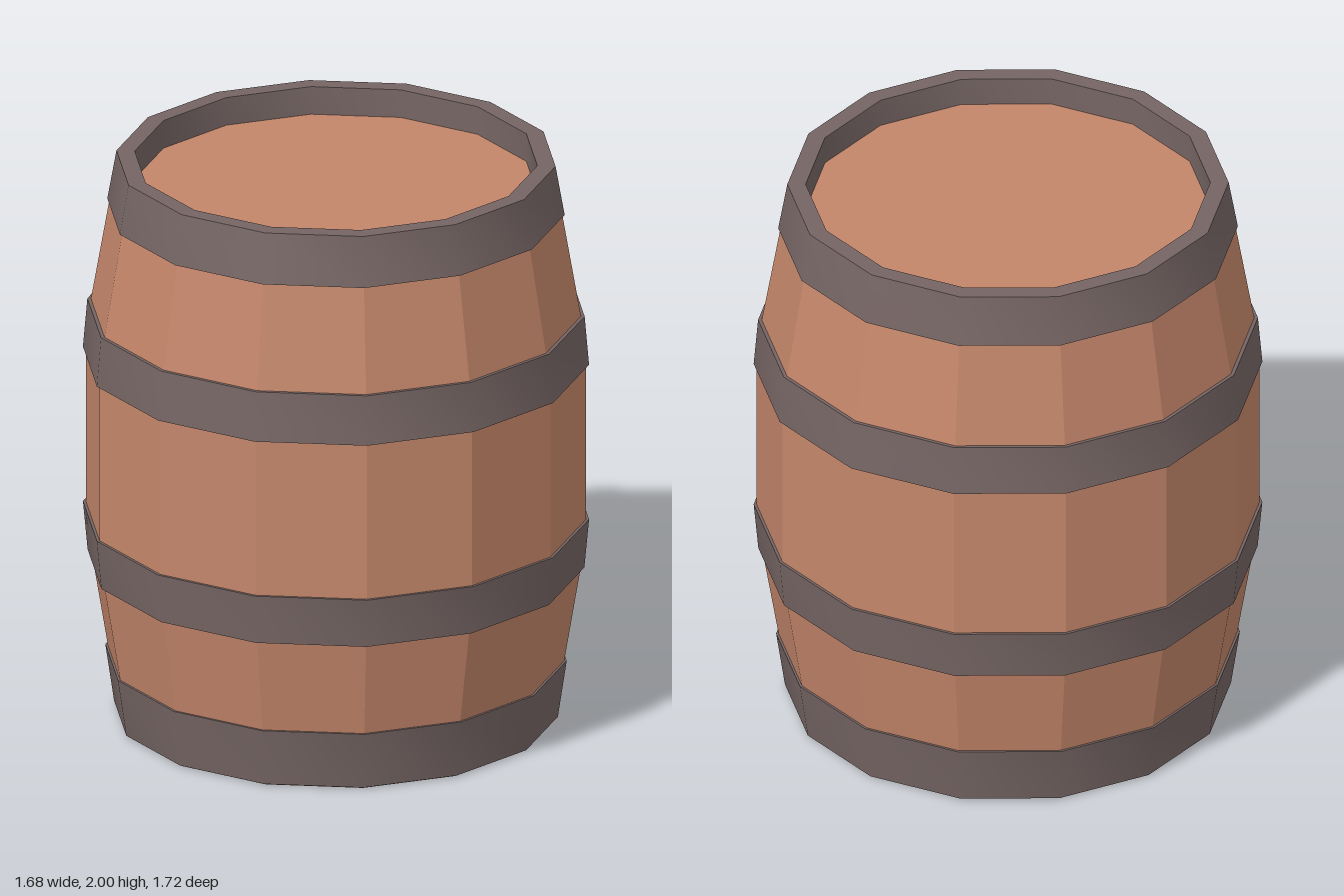
import * as THREE from 'three';
import { toCreasedNormals } from 'three/addons/utils/BufferGeometryUtils.js';

const SIDES = 14;

// Lathe a list of [radius, height] points into a 14-sided solid
function lathe(points) {
  return new THREE.LatheGeometry(points.map(([r, y]) => new THREE.Vector2(r, y)), SIDES);
}

export function createModel() {
  const model = new THREE.Group();
  model.name = 'barrel';

  const wood = new THREE.MeshStandardMaterial({ color: 0xc4866a });
  wood.name = 'wood';
  const iron = new THREE.MeshStandardMaterial({ color: 0x756564 });
  iron.name = 'iron';

  // Faceted wooden body with flat bottom and recessed lid
  const bodyGeometry = lathe([
    [0, 0], [0.742, 0], [0.851, 0.66], [0.851, 1.36], [0.757, 1.9], [0, 1.9],
  ]).toNonIndexed();
  bodyGeometry.computeVertexNormals();
  const body = new THREE.Mesh(bodyGeometry, wood);
  body.name = 'body';
  model.add(body);

  // Iron hoops: smooth around, sharp at their edges
  const hoops = [
    { name: 'bottomHoop', y0: 0.006, r0: 0.755, y1: 0.21, r1: 0.785, inner: 0.72 },
    { name: 'lowerHoop', y0: 0.55, r0: 0.845, y1: 0.725, r1: 0.861, inner: 0.8 },
    { name: 'upperHoop', y0: 1.285, r0: 0.861, y1: 1.46, r1: 0.846, inner: 0.8 },
    { name: 'topRim', y0: 1.825, r0: 0.778, y1: 2, r1: 0.747, inner: 0.685 },
  ];
  for (const { name, y0, r0, y1, r1, inner } of hoops) {
    const geometry = lathe([[r0, y0], [r1, y1], [inner, y1], [inner, y0], [r0, y0]]);
    const hoop = new THREE.Mesh(toCreasedNormals(geometry, 0.6), iron);
    hoop.name = name;
    model.add(hoop);
  }

  return model;
}
